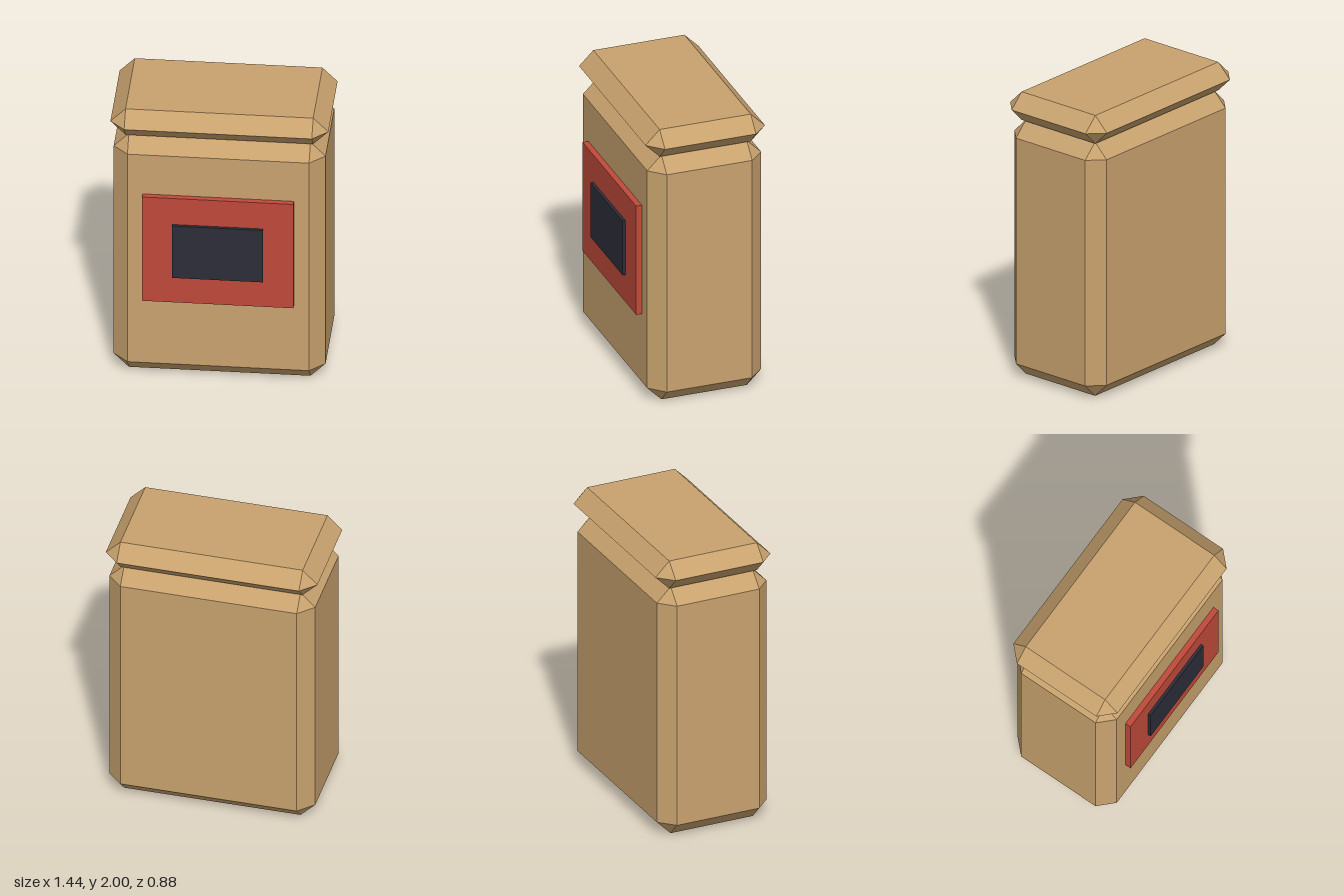
import * as THREE from 'three';
import { ConvexGeometry } from 'three/addons/geometries/ConvexGeometry.js';

// Box with every edge cut at 45 degrees by c
function chamferedBox(w, h, d, c) {
  const points = new Map();
  const [x, y, z] = [w / 2, h / 2, d / 2];
  for (const sx of [-1, 1]) for (const sy of [-1, 1]) for (const sz of [-1, 1]) {
    const corner = [[x, y - c, z - c], [x - c, y, z - c], [x - c, y - c, z]];
    for (const [px, py, pz] of corner) {
      const p = new THREE.Vector3(sx * px, sy * py, sz * pz);
      points.set(p.toArray().map((v) => Math.round(v * 1000) + 0).join(), p);
    }
  }
  return new ConvexGeometry([...points.values()]);
}

export function createModel() {
  const group = new THREE.Group();
  const material = (name, color) => new THREE.MeshStandardMaterial({ name, color });
  const tan = material('tan', 0xc8a26e);
  const red = material('red', 0xc04a3a);
  const dark = material('dark slate', 0x2d2d3a);

  const add = (name, geometry, mat, y, z) => {
    const mesh = new THREE.Mesh(geometry, mat);
    mesh.name = name;
    mesh.position.set(0, y, z);
    group.add(mesh);
  };

  // Sack body and its flared lid
  add('body', chamferedBox(1.4, 1.8, 0.8, 0.1), tan, 0.9, -0.02);
  add('lid', chamferedBox(1.44, 0.2, 0.84, 0.1), tan, 1.9, -0.02);

  // Stacked front label
  add('label', new THREE.BoxGeometry(1, 0.8, 0.04), red, 1, 0.4);
  add('labelPanel', new THREE.BoxGeometry(0.6, 0.4, 0.02), dark, 1, 0.43);

  return group;
}
